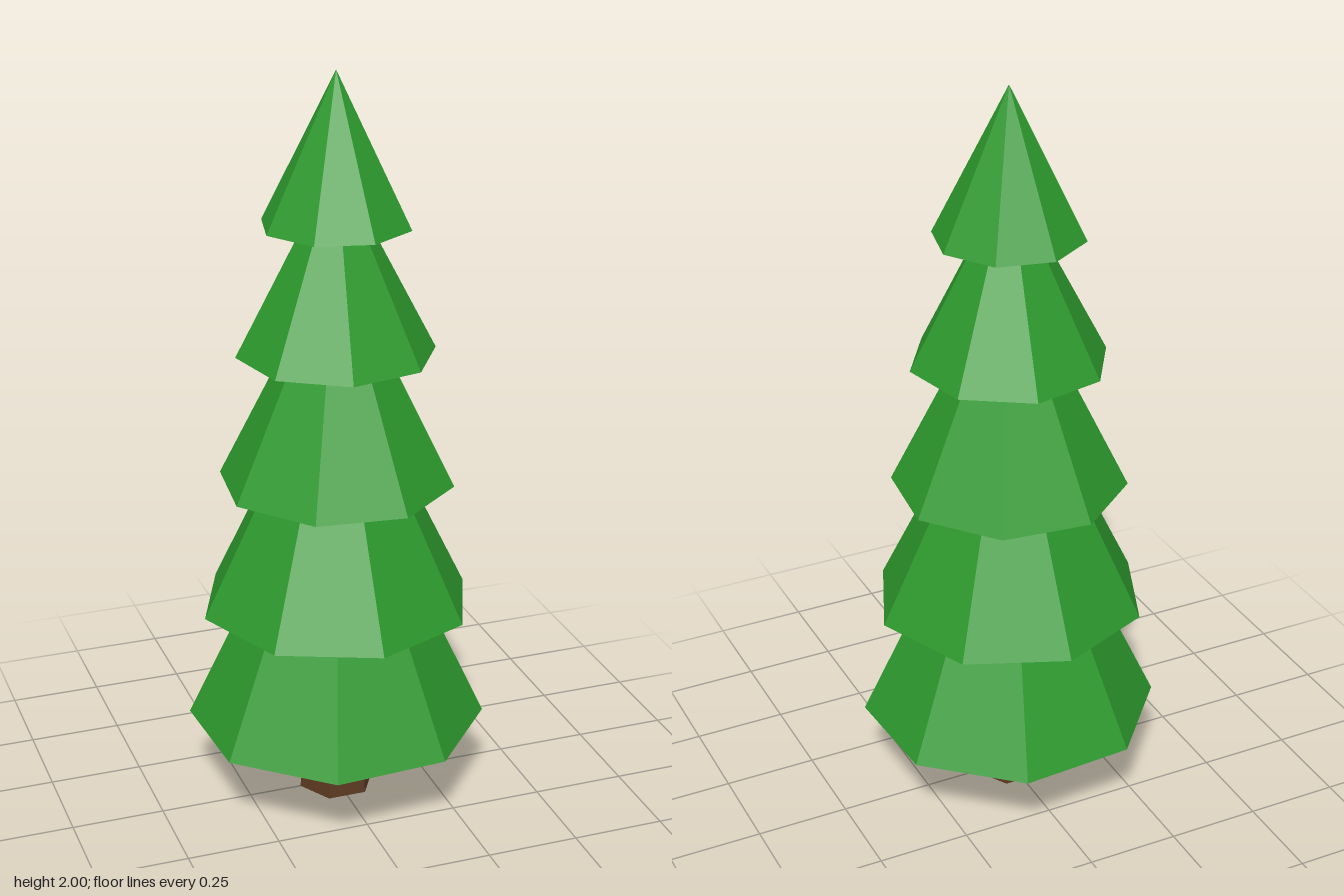
import * as THREE from 'three';

const needles = new THREE.MeshStandardMaterial({ color: 0x2d9a2d, flatShading: true });
needles.name = 'needleGreen';
const bark = new THREE.MeshStandardMaterial({ color: 0x5c3a21, flatShading: true });
bark.name = 'barkBrown';

// Foliage tiers, bottom to top: base height, tip height, radius, twist in degrees
const TIERS = [
  [0.22, 1.08, 0.402, 26.1],
  [0.56, 1.31, 0.368, 0],
  [0.91, 1.54, 0.313, 16],
  [1.265, 1.77, 0.262, 35],
  [1.605, 2.0, 0.198, 9.6],
];

export function createModel() {
  const tree = new THREE.Group();
  tree.name = 'pineTree';

  // Tapered six-sided trunk, running up inside the lowest tier
  const trunkHeight = 0.35;
  const trunk = new THREE.Mesh(new THREE.CylinderGeometry(0.075, 0.105, trunkHeight, 6), bark);
  trunk.name = 'trunk';
  trunk.position.y = trunkHeight / 2;
  trunk.rotation.y = Math.PI / 2;
  tree.add(trunk);

  // Overlapping eight-sided cones, each twisted differently
  TIERS.forEach(([base, tip, radius, twist], i) => {
    const tier = new THREE.Mesh(new THREE.ConeGeometry(radius, tip - base, 8), needles);
    tier.name = `foliageTier${i + 1}`;
    tier.position.y = (base + tip) / 2;
    tier.rotation.y = THREE.MathUtils.degToRad(twist);
    tree.add(tier);
  });

  return tree;
}
